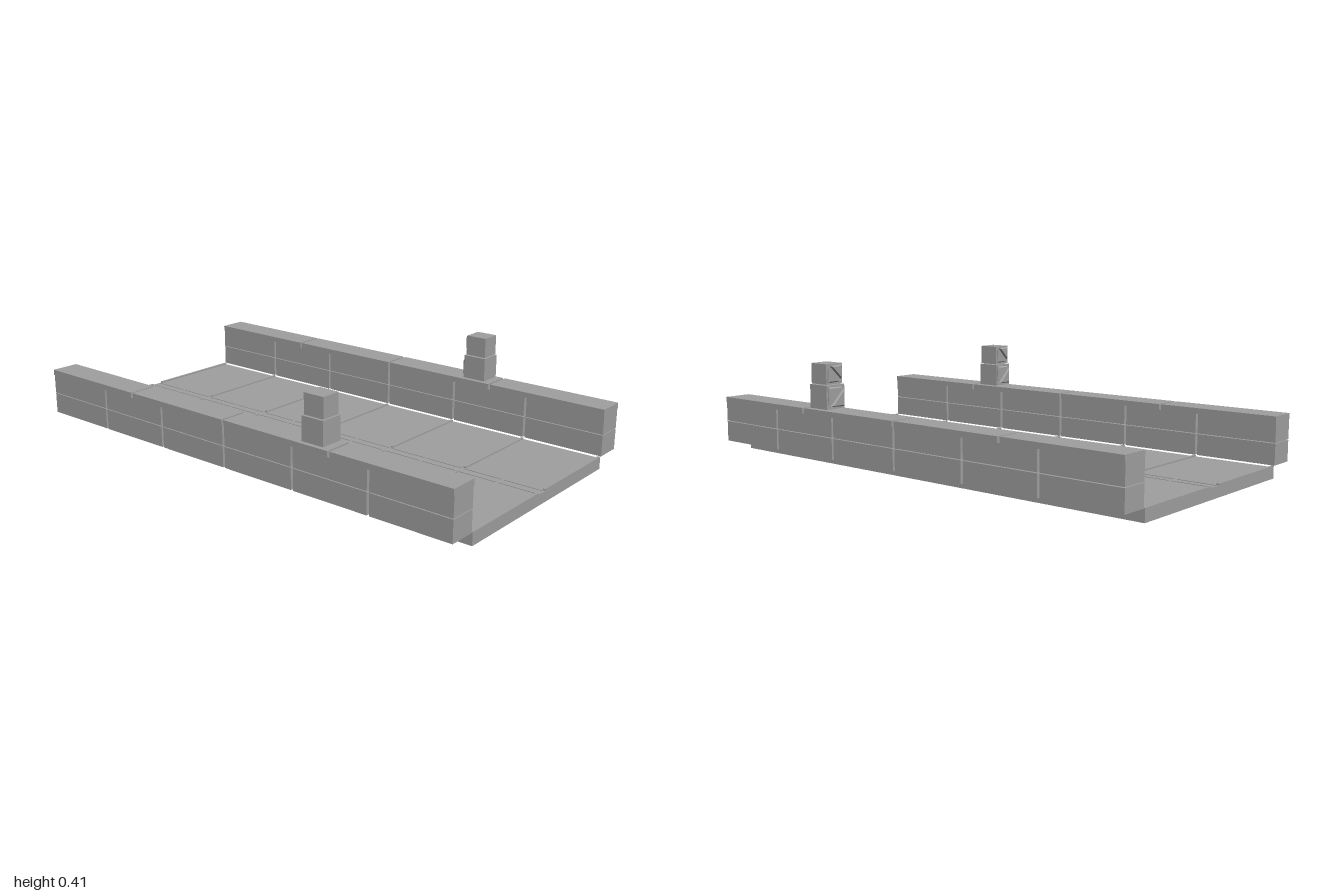
import * as THREE from 'three';

export function createModel() {
  const stone = new THREE.MeshStandardMaterial({ color: 0xa0a0a0 });
  stone.name = 'grey stone';
  const model = new THREE.Group();
  model.name = 'stoneBridge';

  // Box given by its minimum and maximum along each axis
  function block(parent, name, [x0, x1], [y0, y1], [z0, z1]) {
    const mesh = new THREE.Mesh(new THREE.BoxGeometry(x1 - x0, y1 - y0, z1 - z0), stone);
    mesh.position.set((x0 + x1) / 2, (y0 + y1) / 2, (z0 + z1) / 2);
    mesh.name = name;
    parent.add(mesh);
  }

  // Row of equal blocks along z with narrow joints
  function course(parent, name, count, x, y, gap) {
    const pitch = 2 / count;
    for (let i = 0; i < count; i++) {
      const z = -1 + i * pitch;
      const start = i === 0 ? z : z + gap / 2;
      const end = i === count - 1 ? 1 : z + pitch - gap / 2;
      block(parent, name, x, y, [start, end]);
    }
  }

  // Raised panel on the back of a post, split into two bevelled triangles
  function backPanel(parent, x, y, half, z, flip) {
    const bevel = 0.006, r = half - bevel, g = 0.014;
    for (const s of [1, -1]) {
      const corners = [[-r + g, r], [r, r], [r, -r + g]]
        .map(([a, b]) => new THREE.Vector2(a * s * flip, b * s));
      const geometry = new THREE.ExtrudeGeometry(new THREE.Shape(corners), {
        depth: 0.004, bevelEnabled: true, bevelThickness: bevel, bevelSize: bevel, bevelSegments: 1,
      });
      const mesh = new THREE.Mesh(geometry, stone);
      mesh.position.set(x, y, z - 0.004);
      mesh.name = 'postBackPanel';
      parent.add(mesh);
    }
  }

  // Deck with low cross ribs on both sides of the centre line
  const deck = new THREE.Group();
  deck.name = 'deck';
  block(deck, 'deckSlab', [-0.44, 0.44], [0, 0.043], [-1, 1]);
  for (let i = 0; i <= 6; i++) {
    const z = THREE.MathUtils.clamp(-1 + i / 3, -0.995, 0.995);
    block(deck, 'crossRib', [-0.44, -0.025], [0.042, 0.049], [z - 0.005, z + 0.005]);
    block(deck, 'crossRib', [0.025, 0.44], [0.042, 0.049], [z - 0.005, z + 0.005]);
  }
  // Thin broken centre seams
  for (let i = 0; i < 12; i++) {
    const z = -1 + i / 6;
    for (const x of [-0.018, 0.018]) {
      block(deck, 'centreSeam', [x - 0.003, x + 0.003], [0.042, 0.045], [z + 0.006, z + 0.16]);
    }
  }
  model.add(deck);

  // Parapets with two block courses, a cap and one post each
  for (const side of [1, -1]) {
    const wall = new THREE.Group();
    wall.name = side > 0 ? 'leftParapet' : 'rightParapet';
    const span = (a, b) => (side > 0 ? [a, b] : [-b, -a]);
    course(wall, 'lowerBlock', 6, span(0.446, 0.554), [0.048, 0.131], 0.01);
    course(wall, 'upperBlock', 6, span(0.446, 0.554), [0.134, 0.212], 0.01);
    course(wall, 'capStone', 4, span(0.443, 0.557), [0.212, 0.234], 0.01);
    block(wall, 'postBase', span(0.455, 0.545), [0.237, 0.33], [0.372, 0.468]);
    block(wall, 'postTop', span(0.46, 0.54), [0.333, 0.412], [0.378, 0.464]);
    backPanel(wall, side * 0.5, 0.284, 0.04, 0.372, 1);
    backPanel(wall, side * 0.5, 0.373, 0.034, 0.378, -1);
    model.add(wall);
  }
  return model;
}
